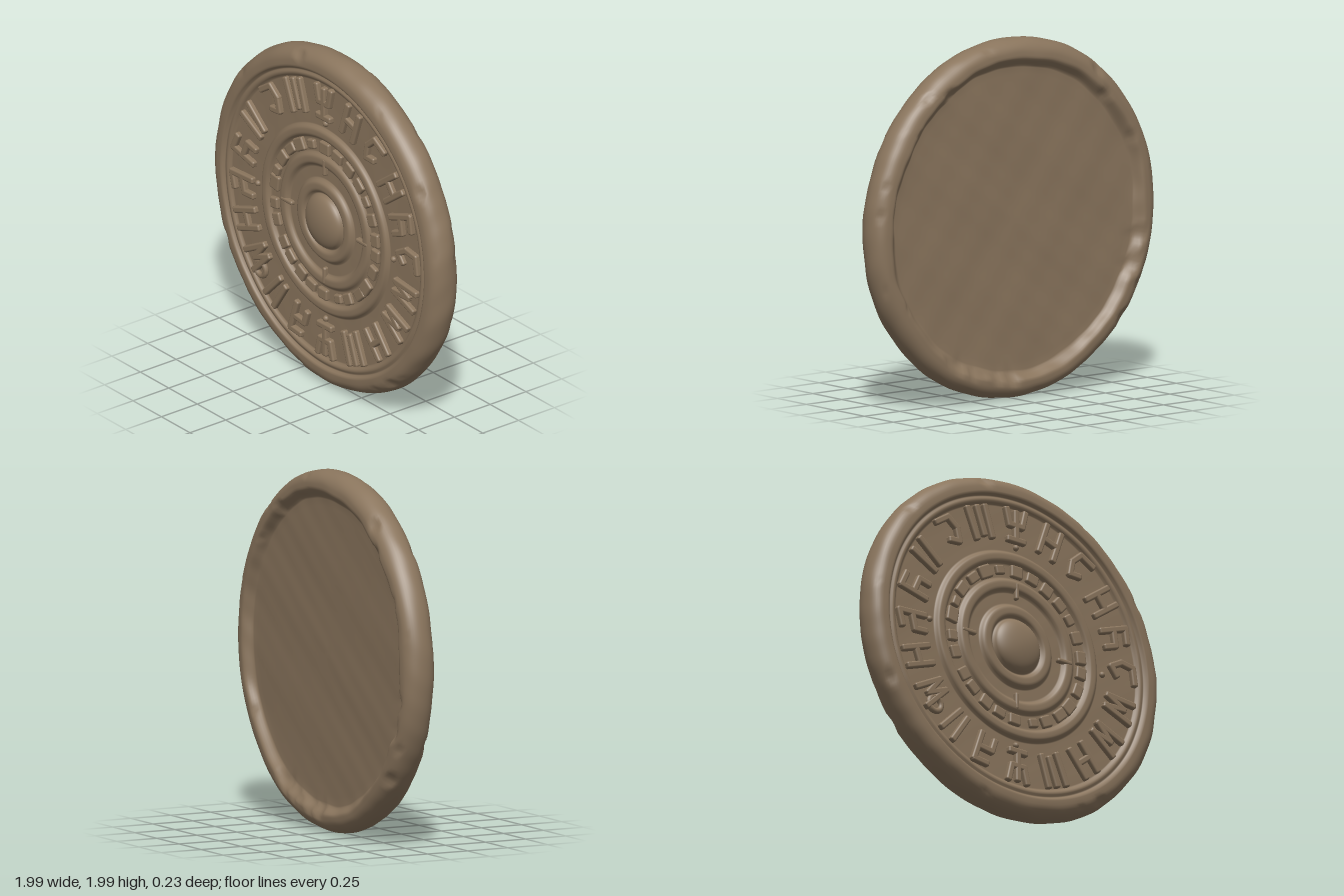
import * as THREE from 'three';
import { mergeGeometries, mergeVertices } from 'three/addons/utils/BufferGeometryUtils.js';
import { RoundedBoxGeometry } from 'three/addons/geometries/RoundedBoxGeometry.js';

const stone = new THREE.MeshStandardMaterial({ color: 0x8a755d });
stone.name = 'weathered stone';

let seed = 11;
const rand = () => (seed = (seed * 16807) % 2147483647) / 2147483647;
const smooth = THREE.MathUtils.smoothstep;

// Lumpy surface noise, about -1 to 1
const noise = (x, y, z) =>
  (Math.sin(x * 9 + y * 5 + 1) + Math.sin(y * 13 - x * 7 + z * 20) +
   Math.sin(x * 23 + y * 17 + z * 31 + 2) * 0.6 + Math.sin(y * 37 - x * 29 + z * 17) * 0.4) / 3;

// Raised rings on the front: [radius, half width, height]
const RIDGES = [[0.205, 0.04, 0.027], [0.36, 0.037, 0.022], [0.522, 0.036, 0.024], [0.854, 0.02, 0.017]];

function frontHeight(r) {
  const boss = 0.052 + 0.064 * Math.sqrt(Math.max(0, 1 - (r / 0.158) ** 2));
  if (r < 0.158) return boss;
  let z = r < 0.2 ? 0.052 : 0.046;
  for (const [c, w, h] of RIDGES) z = Math.max(z, 0.046 + h * (1 - ((r - c) / w) ** 4));
  return Math.max(z, 0.05 + 0.025 * smooth(r, 0.872, 0.892) - (r < 0.872 ? 1 : 0));
}

function discProfile() {
  const pts = [];
  // Sunken back
  for (let i = 0; i <= 20; i++) pts.push(new THREE.Vector2(0.84 * i / 20, -0.067));
  // Inner lip and back of the rim
  for (let i = 1; i <= 6; i++)
    pts.push(new THREE.Vector2(0.84 + 0.01 * i, -0.067 - 0.048 * smooth(i, 0, 6)));
  // Rounded outer edge
  for (let i = 0; i <= 20; i++) {
    const t = -Math.PI / 2 + Math.PI * i / 20;
    pts.push(new THREE.Vector2(0.91 + 0.09 * Math.cos(t) ** 0.85, -0.02 + 0.095 * Math.sin(t)));
  }
  // Front face with rings and boss
  for (let i = 1; i <= 114; i++) {
    const r = 0.91 * (1 - i / 114);
    pts.push(new THREE.Vector2(r, frontHeight(r)));
  }
  return pts;
}

// Chips scattered along both edges of the rim and the back lip
function rimChips() {
  return Array.from({ length: 66 }, (_, i) => {
    const back = i % 3 > 0, t = rand() * Math.PI * 2;
    const r = back && rand() < 0.4 ? 0.86 : 0.98 + rand() * 0.04;
    return {
      c: new THREE.Vector3(r * Math.cos(t), r * Math.sin(t), back ? -0.13 : 0.095),
      s: 0.04 + rand() * 0.035,
    };
  });
}

function discGeometry() {
  let g = new THREE.LatheGeometry(discProfile(), 240).rotateX(Math.PI / 2);
  g.deleteAttribute('uv');
  g.deleteAttribute('normal');
  g = mergeVertices(g, 1e-5);

  const chips = rimChips(), pos = g.attributes.position, p = new THREE.Vector3();
  for (let i = 0; i < pos.count; i++) {
    p.fromBufferAttribute(pos, i);
    const r = Math.hypot(p.x, p.y), n = noise(p.x, p.y, p.z);
    const edge = smooth(r, 0.86, 0.98);
    let scale = 1 + edge * 0.005 * (n - 0.6);
    // Uneven back floor, wavering inner lip, slightly worn front
    if (p.z < -0.05) {
      p.z += 0.004 * n * (1 - edge);
      scale += smooth(r, 0.75, 0.84) * (1 - edge) * 0.012 * n;
    } else if (p.z > 0.03) p.z += 0.002 * n;
    p.x *= scale;
    p.y *= scale;
    for (const { c, s } of chips) {
      const d = p.distanceTo(c);
      if (d >= s) continue;
      const cut = (s - d) * 0.55;
      p.z -= Math.sign(c.z) * cut;
      if (r > 0.92) {
        p.x -= p.x / r * cut * 0.4;
        p.y -= p.y / r * cut * 0.4;
      }
    }
    pos.setXYZ(i, p.x, p.y, p.z);
  }
  g.computeVertexNormals();
  return g;
}

// Rounded raised bar between two points on the front face
function bar(x0, y0, x1, y1, width, top = 0.074) {
  const len = Math.hypot(x1 - x0, y1 - y0) + width * 0.8;
  return new RoundedBoxGeometry(len, width, 0.05, 2, 0.011)
    .rotateZ(Math.atan2(y1 - y0, x1 - x0))
    .translate((x0 + x1) / 2, (y0 + y1) / 2, top - 0.025);
}

// Abstract carved marks as strokes: u runs across, v runs outward
const MARKS = {
  cup: [[-.6, 0, .6, 0], [0, 0, 0, .95], [-.75, 1, -.5, .5, .5, .5, .75, 1]],
  posts: [[-.7, 0, -.8, 1], [0, .1, 0, 1], [.6, 0, .7, 1]],
  hook: [[-.6, 1, .5, .95, .7, .5, .3, .1, -.3, .3]],
  branch: [[-.5, 0, -.5, 1, .5, .9], [-.5, .5, .6, .4, .6, 0]],
  gate: [[-.6, 0, -.6, 1], [.6, 0, .6, 1], [-.6, .5, .6, .5]],
  zigzag: [[-.7, 1, -.4, 0, 0, .7, .4, 0, .7, 1]],
  slabs: [[-.5, 0, -.6, 1], [.2, 0, .5, 1]],
};
// Anticlockwise from the top; a minus sign mirrors the mark
const ORDER = ['cup', 'posts', 'hook', 'slabs', 'branch', '-branch', 'gate', 'zigzag', 'slabs', '-branch',
  'cup', 'posts', 'gate', 'zigzag', '-zigzag', '-hook', 'branch', 'gate', '-hook', 'gate'];

function markGeometry(entry) {
  const side = entry.startsWith('-') ? -1 : 1, bars = [];
  const X = u => side * u * 0.085, Y = v => 0.635 + v * 0.175;
  for (const s of MARKS[entry.replace('-', '')])
    for (let i = 0; i + 3 < s.length; i += 2)
      bars.push(bar(X(s[i]), Y(s[i + 1]), X(s[i + 2]), Y(s[i + 3]), 0.038));
  return mergeGeometries(bars);
}

export function createModel() {
  const model = new THREE.Group();
  model.name = 'carvedDisc';
  const add = (name, geometry, angle = 90) => {
    const m = new THREE.Mesh(geometry, stone);
    m.name = name;
    m.position.y = 1;
    m.rotation.z = THREE.MathUtils.degToRad(angle - 90);
    model.add(m);
  };

  add('disc', discGeometry());

  // Outer band of carved marks, a little unevenly spaced
  ORDER.forEach((entry, i) =>
    add('carvedMark', markGeometry(entry), 90 + 18 * i + 2 + 2.5 * Math.sin((i - 1) * Math.PI / 5)));
  add('carvedRing', new THREE.TorusGeometry(0.042, 0.017, 8, 20).translate(0, 0.755, 0.056), 222);

  // Inner band of small uneven blocks
  const blocks = 26;
  for (let i = 0; i < blocks; i++) {
    const w = 0.05 + rand() * 0.028, h = 0.015 + rand() * 0.02;
    add('smallBlock', bar(-h / 2, 0.445, h / 2, 0.445, w, 0.066 + rand() * 0.006),
      90 + (i + (rand() - 0.5) * 0.3) * 360 / blocks);
  }

  // Four short spokes and studs on the main axes
  for (let a = 0; a < 360; a += 90) {
    add('spoke', bar(0, 0.29, 0, 0.37, 0.026, 0.07), a);
    add('stud', new THREE.SphereGeometry(0.018, 12, 8).translate(0, 0.595, 0.05), a);
  }
  return model;
}
